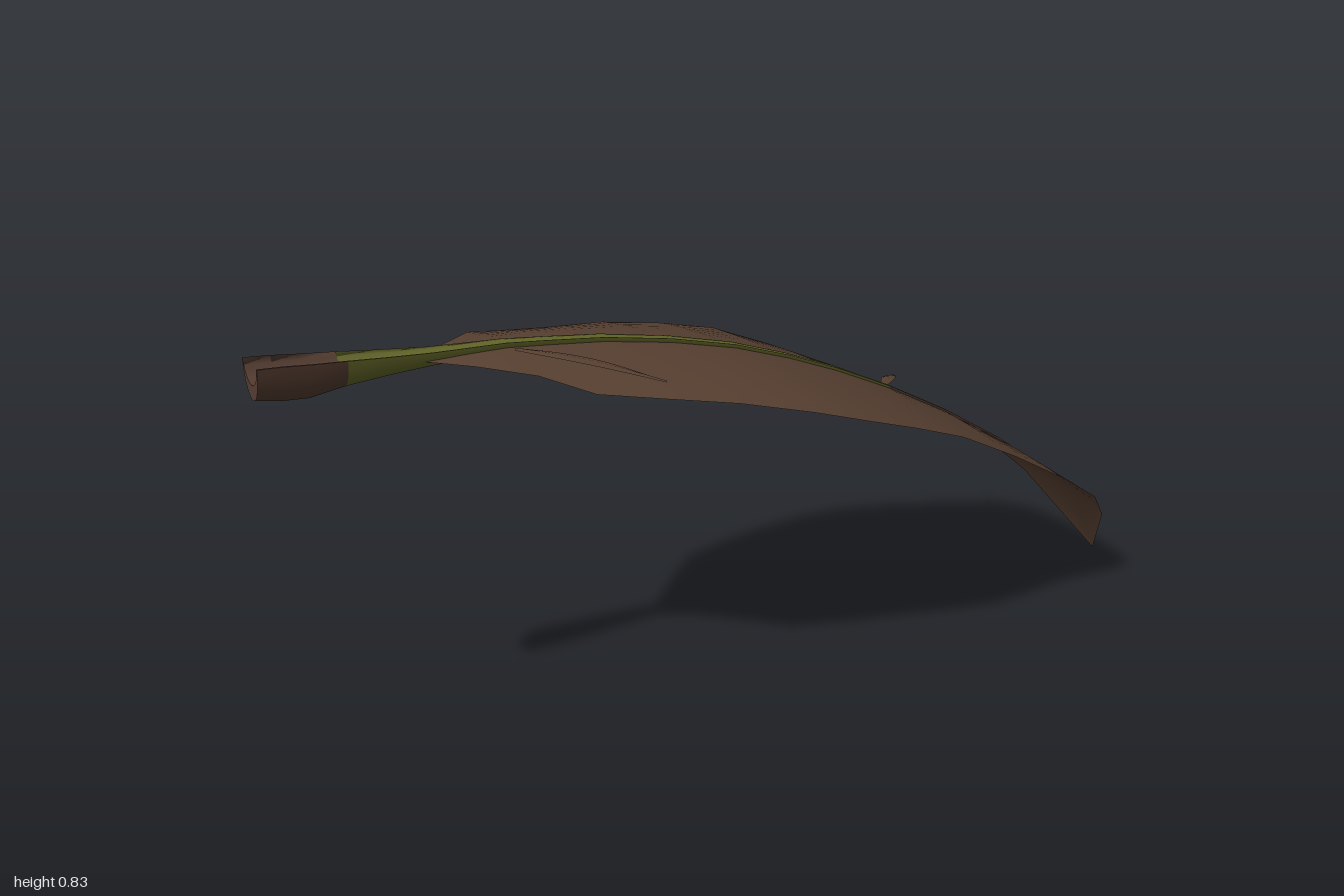
import * as THREE from 'three';

const paint = (name, color) => {
  const m = new THREE.MeshStandardMaterial({ color, side: THREE.DoubleSide });
  m.name = name;
  return m;
};

// Blade stations: x, midrib y, back edge z, back edge y, front edge z, front edge y
const BLADE = [
  [-0.68, 0.780, -0.03, 0.780, 0.005, 0.780],
  [-0.60, 0.779, -0.10, 0.768, 0.06, 0.772],
  [-0.51, 0.776, -0.18, 0.755, 0.135, 0.760],
  [-0.42, 0.766, -0.24, 0.725, 0.195, 0.725],
  [-0.30, 0.751, -0.27, 0.702, 0.23, 0.704],
  [-0.15, 0.722, -0.298, 0.680, 0.262, 0.675],
  [0.00, 0.683, -0.31, 0.648, 0.29, 0.636],
  [0.13, 0.637, -0.308, 0.615, 0.305, 0.595],
  [0.25, 0.587, -0.293, 0.565, 0.293, 0.552],
  [0.39, 0.520, -0.27, 0.500, 0.268, 0.495],
  [0.55, 0.432, -0.247, 0.418, 0.245, 0.410],
  [0.70, 0.338, -0.227, 0.333, 0.232, 0.322],
  [0.83, 0.246, -0.18, 0.240, 0.20, 0.235],
  [0.90, 0.178, -0.13, 0.170, 0.152, 0.158],
  [1.00, 0.002, 0.018, 0.000, 0.022, 0.000],
];

// Linear lookup of one column in a station table
function at(table, x, col) {
  let i = 0;
  while (i < table.length - 2 && x > table[i + 1][0]) i++;
  const a = table[i], b = table[i + 1];
  return THREE.MathUtils.lerp(a[col], b[col], (x - a[0]) / (b[0] - a[0]));
}

const ribZ = (x) => (x < 0.8 ? -0.015 + (x + 1) * 0.0085 : 0.0003 + (x - 0.8) * 0.1);

// Indexed surface through rows of points with equal length
function skin(rows) {
  const n = rows[0].length, index = [];
  for (let i = 0; i < rows.length - 1; i++)
    for (let j = 0; j < n - 1; j++) {
      const a = i * n + j, b = a + n;
      index.push(a, a + 1, b, b, a + 1, b + 1);
    }
  const g = new THREE.BufferGeometry();
  g.setAttribute('position', new THREE.Float32BufferAttribute(rows.flat(2), 3));
  g.setIndex(index);
  g.computeVertexNormals();
  return g;
}

// Blade: arched across, drooping along its length
function bladeGeometry() {
  const half = 8;
  const rows = BLADE.map(([x, y, zb, yb, zf, yf]) => {
    const row = [];
    for (let j = -half; j <= half; j++) {
      const t = Math.abs(j) / half, back = j < 0;
      row.push([
        x,
        y + ((back ? yb : yf) - y) * Math.pow(t, 1.6),
        ribZ(x) + ((back ? zb : zf) - ribZ(x)) * t,
      ]);
    }
    return row;
  });
  return skin(rows);
}

// Stalk stations: x, rim y, channel y, underside y, half width
const onRib = (x, up, down, w) => {
  const y = at(BLADE, x, 1);
  return [x, y + up, y + up * 0.6, y - down, w];
};
const STALK = [
  [-1.00, 0.830, 0.790, 0.760, 0.040],
  [-0.95, 0.826, 0.789, 0.750, 0.038],
  [-0.90, 0.820, 0.788, 0.746, 0.036],
  [-0.83, 0.813, 0.787, 0.756, 0.032],
  [-0.75, 0.804, 0.786, 0.761, 0.026],
  [-0.66, 0.795, 0.786, 0.764, 0.020],
  ...BLADE.slice(2, 11).map((r, i) => onRib(r[0], 0.010 - i * 0.0006, 0.012 - i * 0.001, 0.015 - i * 0.0011)),
  onRib(0.70, 0.004, 0.003, 0.004),
  onRib(0.80, 0.001, 0.001, 0.001),
];

// Ring of a grooved stalk: rounded underside, hollow top
function ring([x, rim, valley, bottom, w]) {
  const pts = [], n = 10, z = ribZ(x);
  for (let k = 0; k <= n; k++) {
    const a = (k / n) * Math.PI;
    pts.push([x, rim - (rim - bottom) * Math.sin(a), z + w * Math.cos(a)]);
  }
  for (let k = 1; k <= n; k++) {
    const a = Math.PI * (1 - k / n);
    pts.push([x, rim - (rim - valley) * Math.sin(a), z + w * 0.88 * Math.cos(a)]);
  }
  pts.push([...pts[0]]);
  return pts;
}

// Narrow curled strip lying just above the blade
function stripGeometry(from, to, width, lift) {
  const rows = [], n = 8;
  const dir = new THREE.Vector3().subVectors(to, from).setY(0).normalize();
  for (let i = 0; i <= n; i++) {
    const t = i / n;
    const p = new THREE.Vector3().lerpVectors(from, to, t);
    p.y += lift * Math.sin(Math.PI * t);
    const w = width * Math.sin(Math.PI * (0.12 + 0.86 * t)) * 0.5;
    rows.push([-1, 0, 1].map((s) => [
      p.x - dir.z * w * s, p.y - Math.abs(s) * 0.003, p.z + dir.x * w * s,
    ]));
  }
  return skin(rows);
}

export function createModel() {
  const leafBrown = paint('leaf brown', 0x5a4233);
  const stalkGreen = paint('stalk green', 0x636628);
  const dryBrown = paint('dry brown', 0x543c30);

  const model = new THREE.Group();
  model.name = 'driedLeaf';
  const add = (name, geometry, material) => {
    const mesh = new THREE.Mesh(geometry, material);
    mesh.name = name;
    model.add(mesh);
  };

  add('blade', bladeGeometry(), leafBrown);

  // Stalk and midrib: dry at both ends, green between
  const rings = STALK.map(ring);
  add('stalkBase', skin(rings.slice(0, 4)), dryBrown);
  add('greenMidrib', skin(rings.slice(3, 14)), stalkGreen);
  add('midribTip', skin(rings.slice(13)), dryBrown);

  // Crescent closing the cut end of the stalk
  const end = rings[0], under = end.slice(0, 11), over = end.slice(10, 21).reverse();
  add('stalkEnd', skin([under, over]), dryBrown);

  // Side strips peeling from the blade
  add('frontStrip', stripGeometry(
    new THREE.Vector3(-0.5, 0.779, 0.02), new THREE.Vector3(-0.28, 0.73, 0.21), 0.035, 0.008), leafBrown);
  add('backStrip', stripGeometry(
    new THREE.Vector3(0.39, 0.524, -0.015), new THREE.Vector3(0.555, 0.455, -0.205), 0.03, 0.008), leafBrown);

  return model;
}
